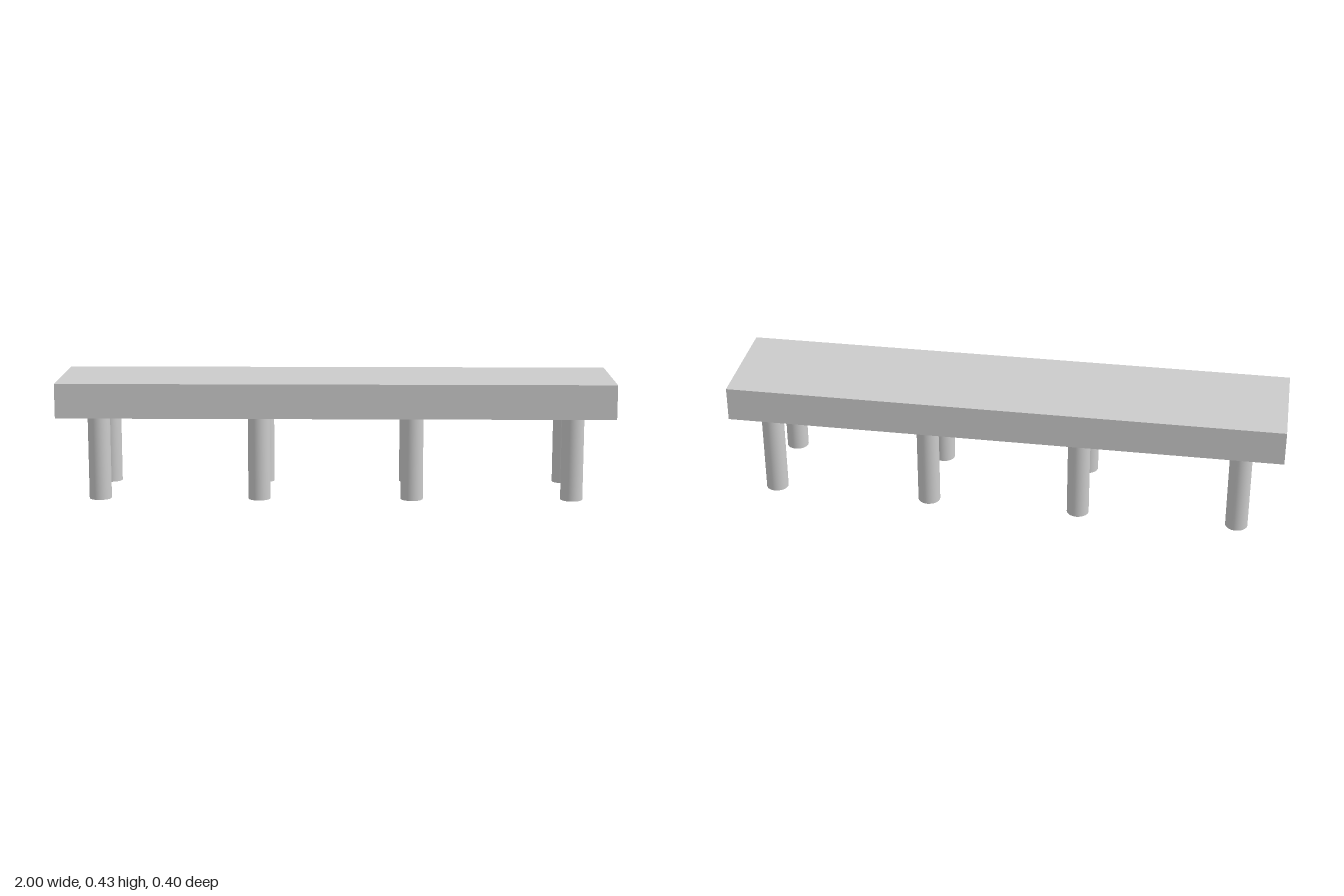
import * as THREE from 'three';

const LEG_HEIGHT = 0.3;
const SLAB_HEIGHT = 0.125;

export function createModel() {
  const model = new THREE.Group();
  model.name = 'bench';
  const material = new THREE.MeshStandardMaterial({ color: 0xcccccc });

  // Thick rectangular seat slab
  const seat = new THREE.Mesh(new THREE.BoxGeometry(2, SLAB_HEIGHT, 0.4), material);
  seat.name = 'seat';
  seat.position.y = LEG_HEIGHT + SLAB_HEIGHT / 2;
  model.add(seat);

  // Four pairs of round legs
  const legGeometry = new THREE.CylinderGeometry(0.04, 0.04, LEG_HEIGHT, 32);
  for (const x of [-0.85, -0.275, 0.275, 0.85]) {
    for (const z of [-0.15, 0.15]) {
      const leg = new THREE.Mesh(legGeometry, material);
      leg.name = z > 0 ? 'frontLeg' : 'backLeg';
      leg.position.set(x, LEG_HEIGHT / 2, z);
      model.add(leg);
    }
  }
  return model;
}
